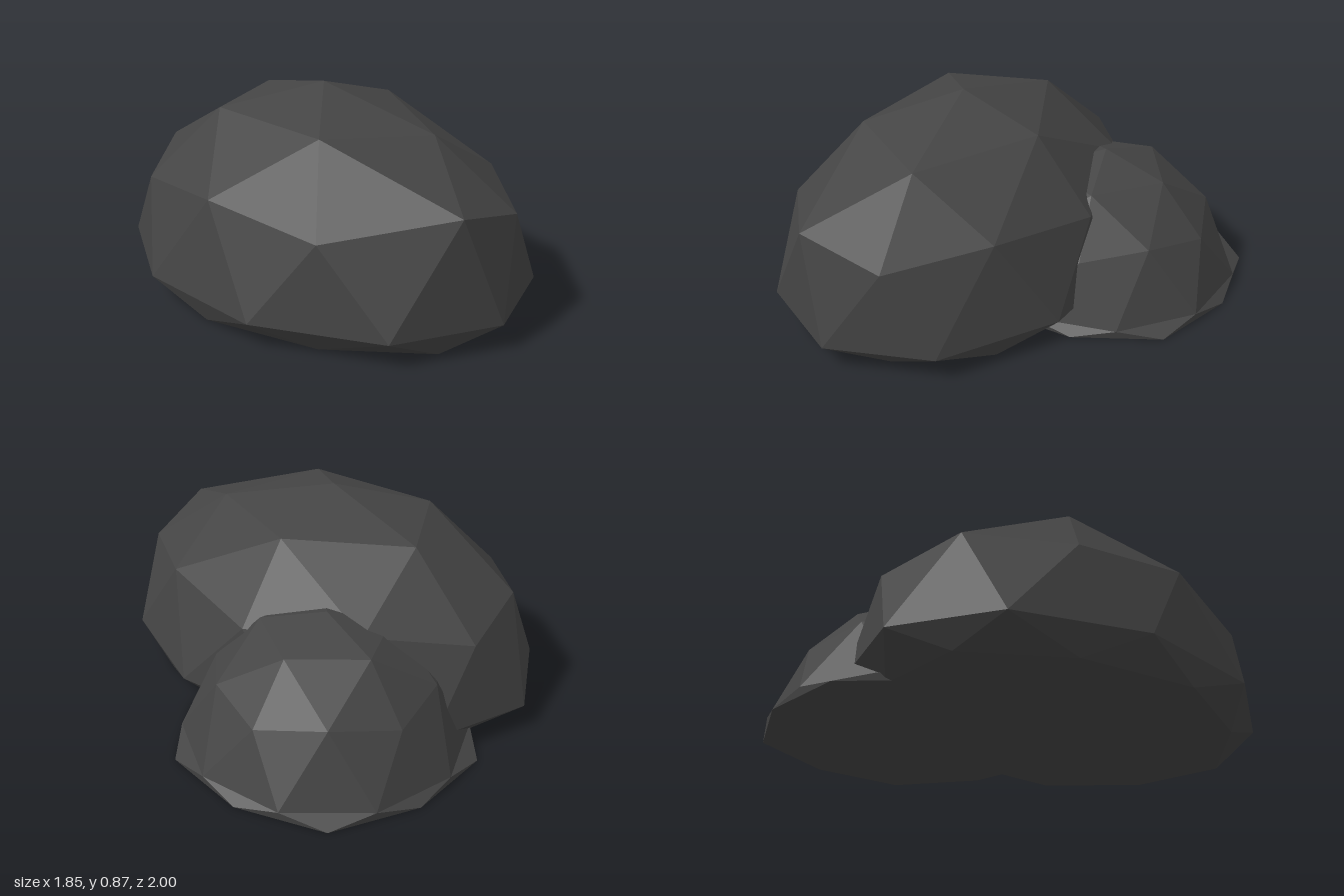
import * as THREE from 'three';

const stone = new THREE.MeshStandardMaterial({ color: 0x444444, flatShading: true });

// Faceted ball with a vertex pointing up; shape(p) moves each vertex, and all
// that falls below the ground is flattened onto y = 0.
function boulder(name, shape) {
  const geo = new THREE.IcosahedronGeometry(1, 1);
  geo.rotateX(-Math.atan((1 + Math.sqrt(5)) / 2));
  geo.rotateY(Math.PI / 2);
  geo.deleteAttribute('uv');
  const pos = geo.attributes.position;
  const p = new THREE.Vector3();
  for (let i = 0; i < pos.count; i++) {
    shape(p.fromBufferAttribute(pos, i));
    pos.setXYZ(i, p.x, Math.max(0, p.y), p.z);
  }
  geo.computeVertexNormals();
  const mesh = new THREE.Mesh(geo, stone);
  mesh.name = name;
  return mesh;
}

// Corners of the large boulder pushed forward: direction, offset
const dents = [
  [new THREE.Vector3(-0.263, 0.526, 0.809), new THREE.Vector3(0.043, 0.045, 0.105)],
  [new THREE.Vector3(0.162, 0.851, 0.5), new THREE.Vector3(0, -0.03, 0.02)],
  [new THREE.Vector3(0.276, 0.447, 0.851), new THREE.Vector3(0.015, 0.015, 0.02)],
];

function shapeLarge(p) {
  const dent = dents.find(([dir]) => dir.distanceTo(p) < 0.05);
  p.set(-0.23 + p.x * 0.735, 0.105 + p.y * 0.77, p.z);
  if (dent) p.add(dent[1]);
}

// The small boulder flares out towards the ground
function shapeSmall(p) {
  const level = Math.abs(p.y) < 0.01;
  const spread = level ? 0.612 : p.y > 0 ? 0.55 : 0.732;
  p.set(0.3 + p.x * spread, level ? 0.037 : 0.05 + p.y * 0.54, -0.34 + p.z * spread);
}

export function createModel() {
  const model = new THREE.Group();
  model.name = 'rocks';
  model.add(boulder('largeBoulder', shapeLarge), boulder('smallBoulder', shapeSmall));
  return model;
}
